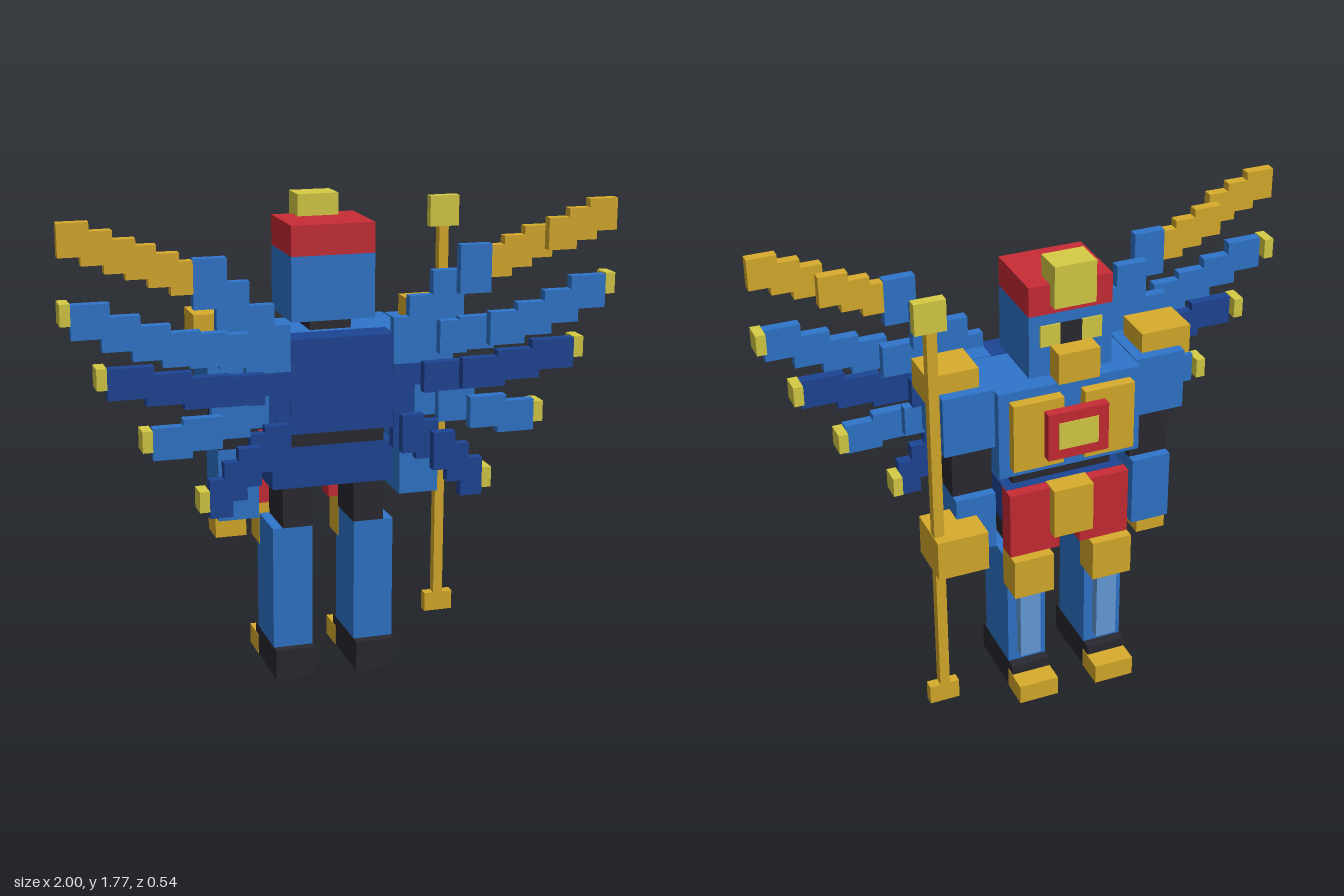
import * as THREE from 'three';

const mat = (name, color) => Object.assign(new THREE.MeshStandardMaterial({ color }), { name });

export function createModel() {
  const model = new THREE.Group();
  model.name = 'wingedRobot';

  const blue = mat('blue', 0x2f75cb);
  const navy = mat('navy', 0x1d4595);
  const paleBlue = mat('paleBlue', 0x659ddb);
  const red = mat('red', 0xc92b35);
  const gold = mat('gold', 0xd8ac2b);
  const yellow = mat('yellow', 0xd6cc45);
  const black = mat('black', 0x292931);

  // Box given by its extents along x, y and z
  function box(name, m, x0, x1, y0, y1, z0, z1, parent = model) {
    const geo = new THREE.BoxGeometry(Math.abs(x1 - x0), y1 - y0, z1 - z0);
    const mesh = new THREE.Mesh(geo, m);
    mesh.position.set((x0 + x1) / 2, (y0 + y1) / 2, (z0 + z1) / 2);
    mesh.name = name;
    parent.add(mesh);
  }
  // The same box on both sides of x = 0
  function pair(name, m, x0, x1, ...rest) {
    box(name + 'Left', m, x0, x1, ...rest);
    box(name + 'Right', m, -x1, -x0, ...rest);
  }

  // Head with cap, crest, visor, eyes and chin
  box('head', blue, -0.155, 0.155, 1.345, 1.58, -0.19, 0.08);
  box('cap', red, -0.155, 0.155, 1.58, 1.69, -0.19, 0.08);
  box('crestTop', yellow, -0.077, 0.077, 1.69, 1.77, -0.23, -0.115);
  box('crestFront', yellow, -0.077, 0.077, 1.615, 1.69, -0.23, -0.19);
  box('visor', black, -0.04, 0.04, 1.46, 1.54, -0.196, -0.19);
  pair('eye', yellow, 0.04, 0.115, 1.46, 1.54, -0.196, -0.19);
  box('chin', gold, -0.077, 0.077, 1.345, 1.46, -0.268, -0.19);
  box('neck', black, -0.077, 0.077, 1.3, 1.345, -0.115, 0.04);

  // Torso, chest plates and badge
  box('chest', blue, -0.27, 0.27, 0.965, 1.305, -0.19, 0.08);
  box('backPack', navy, -0.192, 0.192, 0.965, 1.308, 0.08, 0.192);
  pair('chestPlate', gold, 0.04, 0.23, 1.005, 1.27, -0.23, -0.19);
  box('badge', red, -0.115, 0.115, 1.045, 1.23, -0.266, -0.23);
  box('badgeCentre', yellow, -0.075, 0.075, 1.085, 1.19, -0.27, -0.266);
  box('waist', black, -0.192, 0.192, 0.885, 0.965, -0.115, 0.08);
  box('hips', navy, -0.23, 0.23, 0.73, 0.885, -0.15, 0.08);
  pair('hipPlate', red, 0.04, 0.232, 0.62, 0.883, -0.192, -0.115);
  box('beltPlate', gold, -0.077, 0.077, 0.69, 0.887, -0.23, -0.15);

  // Legs
  pair('thigh', black, 0.077, 0.192, 0.58, 0.73, -0.115, 0.08);
  pair('shin', blue, 0.08, 0.23, 0.115, 0.58, -0.15, 0.08);
  pair('shinGuard', paleBlue, 0.115, 0.195, 0.155, 0.47, -0.19, -0.15);
  pair('knee', gold, 0.078, 0.232, 0.46, 0.62, -0.23, -0.115);
  pair('boot', black, 0.08, 0.23, 0, 0.115, -0.19, 0.115);
  pair('toe', gold, 0.078, 0.232, 0, 0.077, -0.27, -0.15);

  // Arms
  pair('shoulder', blue, 0.27, 0.46, 1.08, 1.31, -0.155, 0.07);
  pair('shoulderPad', gold, 0.31, 0.5, 1.275, 1.385, -0.115, 0.04);
  pair('upperArm', black, 0.27, 0.42, 0.885, 1.08, -0.115, 0.04);
  box('forearmLeft', blue, 0.27, 0.42, 0.657, 0.885, -0.15, 0.037);
  box('handLeft', gold, 0.345, 0.535, 0.655, 0.81, -0.268, -0.075);
  box('forearmRight', blue, -0.42, -0.27, 0.615, 0.885, -0.15, 0.037);
  box('handRight', gold, -0.425, -0.31, 0.54, 0.615, -0.115, 0.0);

  // Staff held in the left hand
  box('staffShaft', gold, 0.496, 0.533, 0.155, 1.615, -0.23, -0.192);
  box('staffBase', gold, 0.46, 0.573, 0.08, 0.155, -0.23, -0.192);
  box('staffHead', yellow, 0.46, 0.573, 1.615, 1.73, -0.23, -0.192);

  // Stepped feather: equal blocks from root to end, moving back a layer past each x in "back"
  function feather(wing, side, index, f) {
    const [x0, y0] = f.from, [x1, y1] = f.to;
    const step = (x1 - x0) / f.steps;
    for (let i = 0; i < f.steps; i++) {
      const x = x0 + i * step;
      const y = THREE.MathUtils.lerp(y0, y1, ((i + 0.5) / f.steps) ** f.bend);
      const z = 0.153 + index * 0.0005 + 0.038 * f.back.filter((b) => x + step / 2 > b).length;
      box(f.name, f.m, side * (x - (i && 0.03)), side * (x + step),
        y - f.height / 2, y + f.height / 2, z, z + 0.039, wing);
    }
    if (f.tip) {
      box(f.name + 'Tip', yellow, side * x1, side * (x1 + 0.036), f.tip - 0.038, f.tip + 0.038, 0.192, 0.27, wing);
    }
  }

  const feathers = [
    { name: 'topFeatherEnd', m: gold, from: [0.54, 1.54], to: [1, 1.725], steps: 6, height: 0.115, bend: 1, back: [0, 0.78] },
    { name: 'topFeather', m: blue, from: [0.19, 1.25], to: [0.54, 1.58], steps: 4, height: 0.175, bend: 1.2, back: [0.48] },
    { name: 'upperFeather', m: blue, from: [0.35, 1.29], to: [0.965, 1.46], steps: 6, height: 0.12, bend: 2, back: [0.33, 0.56], tip: 1.46 },
    { name: 'middleFeather', m: navy, from: [0.19, 1.14], to: [0.85, 1.23], steps: 5, height: 0.11, bend: 2, back: [0.3, 0.46], tip: 1.233 },
    { name: 'lowerFeather', m: blue, from: [0.27, 1.065], to: [0.7, 0.98], steps: 4, height: 0.115, bend: 1.2, back: [0.37, 0.5], tip: 1.003 },
    { name: 'bottomFeather', m: navy, from: [0.19, 0.96], to: [0.505, 0.745], steps: 6, height: 0.14, bend: 1.9, back: [0.25, 0.37], tip: 0.77 },
  ];

  // Wings, mirrored
  for (const side of [1, -1]) {
    const wing = new THREE.Group();
    wing.name = side > 0 ? 'wingLeft' : 'wingRight';
    model.add(wing);
    box('wingRootUpper', blue, side * 0.19, side * 0.27, 1.11, 1.31, 0.08, 0.156, wing);
    box('wingRootLower', navy, side * 0.19, side * 0.27, 0.965, 1.11, 0.08, 0.188, wing);
    box('wingRootBlade', blue, side * 0.19, side * 0.35, 1.12, 1.31, 0.15, 0.191, wing);
    feathers.forEach((f, i) => feather(wing, side, i, f));
  }
  return model;
}
